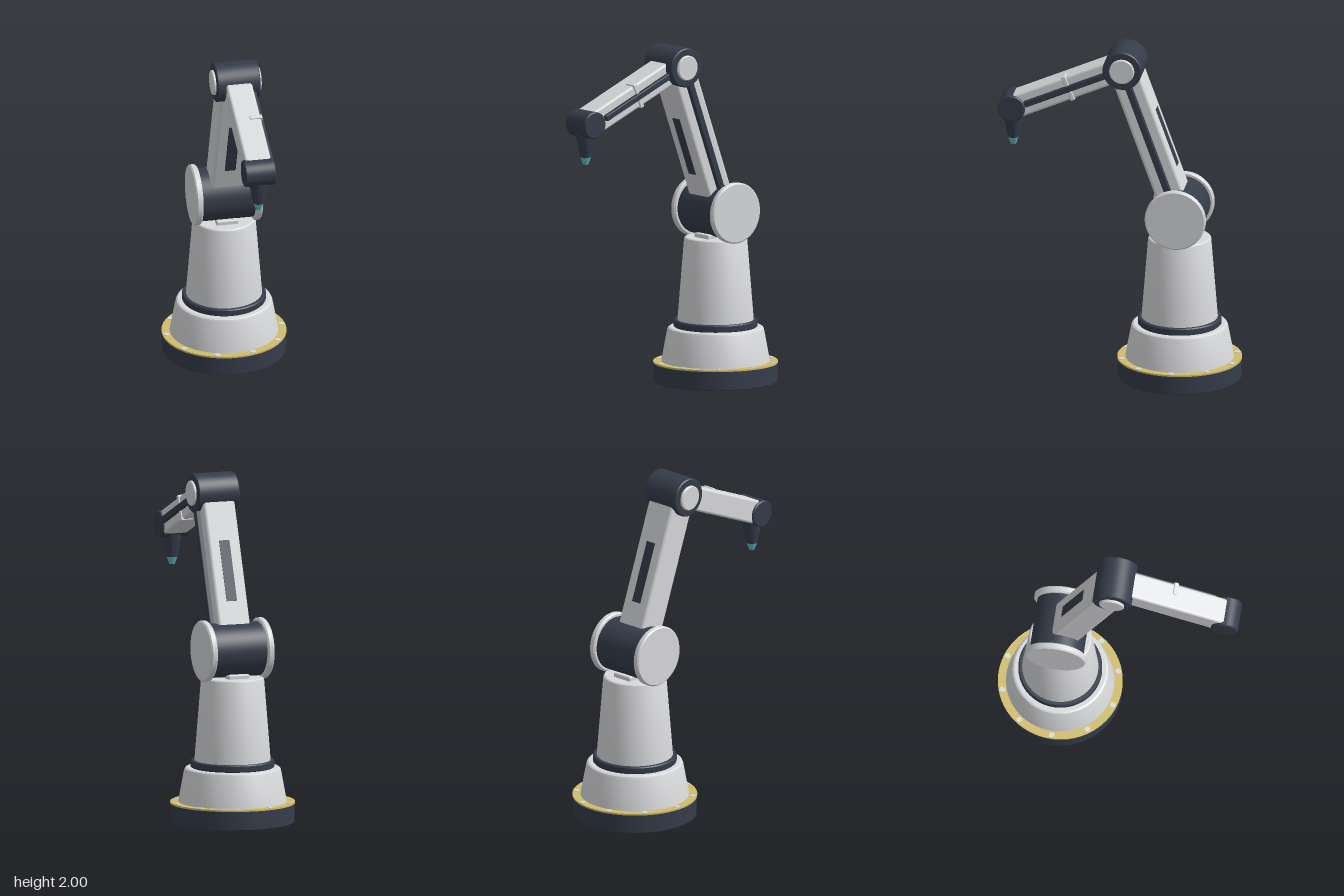
import * as THREE from 'three';
import { toCreasedNormals } from 'three/addons/utils/BufferGeometryUtils.js';
import { RoundedBoxGeometry } from 'three/addons/geometries/RoundedBoxGeometry.js';

const paint = (name, color) => {
  const m = new THREE.MeshStandardMaterial({ color });
  m.name = name;
  return m;
};

export function createModel() {
  const shell = paint('light grey shell', 0xd8d9db);
  const dark = paint('dark slate', 0x353c4a);
  const gold = paint('gold trim', 0xd0bd6c);
  const teal = paint('teal tip', 0x5fbcc2);

  const model = new THREE.Group();
  model.name = 'robotArm';

  const add = (parent, name, geometry, material, x = 0, y = 0, z = 0) => {
    const mesh = new THREE.Mesh(geometry, material);
    mesh.name = name;
    mesh.position.set(x, y, z);
    parent.add(mesh);
    return mesh;
  };

  // Turned solid from [radius, height] pairs, bottom to top
  const turned = (points) => toCreasedNormals(
    new THREE.LatheGeometry(points.map(([r, y]) => new THREE.Vector2(r, y)), 64), 0.5);

  // Drum with slightly bevelled rims, lying along x
  const drum = (r, w, b = 0.006) => turned([
    [0, -w / 2], [r - b, -w / 2], [r, -w / 2 + b],
    [r, w / 2 - b], [r - b, w / 2], [0, w / 2],
  ]).rotateZ(-Math.PI / 2);

  const rounded = (w, h, d, r) => new RoundedBoxGeometry(w, h, d, 3, r);

  // Joint positions in the x = 0 plane
  const shoulder = new THREE.Vector3(0, 1.008, -0.343);
  const elbow = new THREE.Vector3(0, 1.886, -0.023);
  const wrist = new THREE.Vector3(0, 1.61, 0.63);

  // Group at one joint whose y axis points to the next joint
  const link = (name, from, to) => {
    const g = new THREE.Group();
    g.name = name;
    g.position.copy(from);
    g.rotation.x = Math.atan2(to.z - from.z, to.y - from.y);
    model.add(g);
    return { g, length: from.distanceTo(to) };
  };

  // Base and turning column
  const base = new THREE.Group();
  base.name = 'base';
  base.position.z = shoulder.z;
  model.add(base);
  add(base, 'foot', turned([[0, 0], [0.354, 0], [0.358, 0.004], [0.358, 0.111], [0, 0.111]]), dark);
  add(base, 'trimRing', turned([[0, 0.111], [0.362, 0.111], [0.362, 0.121], [0, 0.121]]), gold);
  add(base, 'lowerCone', turned([
    [0, 0.12], [0.315, 0.12], [0.281, 0.305], [0.276, 0.316], [0.266, 0.322], [0, 0.322],
  ]), shell);
  add(base, 'bearingRing', turned([
    [0, 0.322], [0.238, 0.322], [0.243, 0.327], [0.243, 0.358], [0.238, 0.364], [0, 0.364],
  ]), dark);
  add(base, 'column', turned([
    [0, 0.364], [0.221, 0.364], [0.183, 0.838], [0.18, 0.845], [0.173, 0.85], [0, 0.85],
  ]), shell);
  add(base, 'saddle', rounded(0.13, 0.06, 0.22, 0.008), shell, 0, 0.845, 0);

  // Ring of ten bolts on the trim
  for (let i = 0; i < 10; i++) {
    const a = (i * Math.PI) / 5;
    add(base, 'bolt', new THREE.CylinderGeometry(0.017, 0.017, 0.008, 16), shell,
      0.34 * Math.cos(a), 0.12, 0.34 * Math.sin(a));
  }

  // Joint drums and their side caps
  add(model, 'shoulderDrum', drum(0.157, 0.33), dark, ...shoulder);
  add(model, 'elbowDrum', drum(0.114, 0.254), dark, ...elbow);
  add(model, 'wristDrum', drum(0.079, 0.18), dark, ...wrist);
  for (const s of [-1, 1]) {
    add(model, 'shoulderCap', drum(0.178, 0.04, 0.008), shell, s * 0.176, shoulder.y, shoulder.z);
    add(model, 'elbowCap', drum(0.073, 0.03, 0.005), shell, s * 0.127, elbow.y, elbow.z);
  }

  // Upper arm with a side rail and a slot plate front and back
  const upper = link('upperArm', shoulder, elbow);
  add(upper.g, 'upperArmBeam', rounded(0.2, upper.length, 0.17, 0.02), shell, 0, upper.length / 2, 0);
  add(upper.g, 'upperArmRail', rounded(0.05, 0.78, 0.04, 0.006), dark, 0.102, 0.53, 0);
  for (const s of [-1, 1]) {
    add(upper.g, 'upperArmSlot', new THREE.BoxGeometry(0.064, 0.36, 0.008), dark, 0, 0.45, s * 0.084);
  }

  // Forearm with a side rail and a clip
  const fore = link('forearm', elbow, wrist);
  add(fore.g, 'forearmBeam', rounded(0.154, fore.length, 0.14, 0.016), shell, 0, fore.length / 2, 0);
  add(fore.g, 'forearmRail', rounded(0.05, 0.56, 0.036, 0.006), dark, 0.076, 0.345, 0);
  add(fore.g, 'forearmClip', rounded(0.075, 0.028, 0.154, 0.006), shell, 0.048, 0.35, 0);

  // Tool hanging below the wrist
  const tool = new THREE.Group();
  tool.name = 'tool';
  tool.position.copy(wrist);
  model.add(tool);
  add(tool, 'nozzle', turned([[0, -0.195], [0.032, -0.195], [0.058, -0.06], [0.058, 0], [0, 0]]), dark);
  add(tool, 'nozzleTip', turned([[0, -0.238], [0.016, -0.238], [0.032, -0.195], [0, -0.195]]), teal);

  return model;
}
